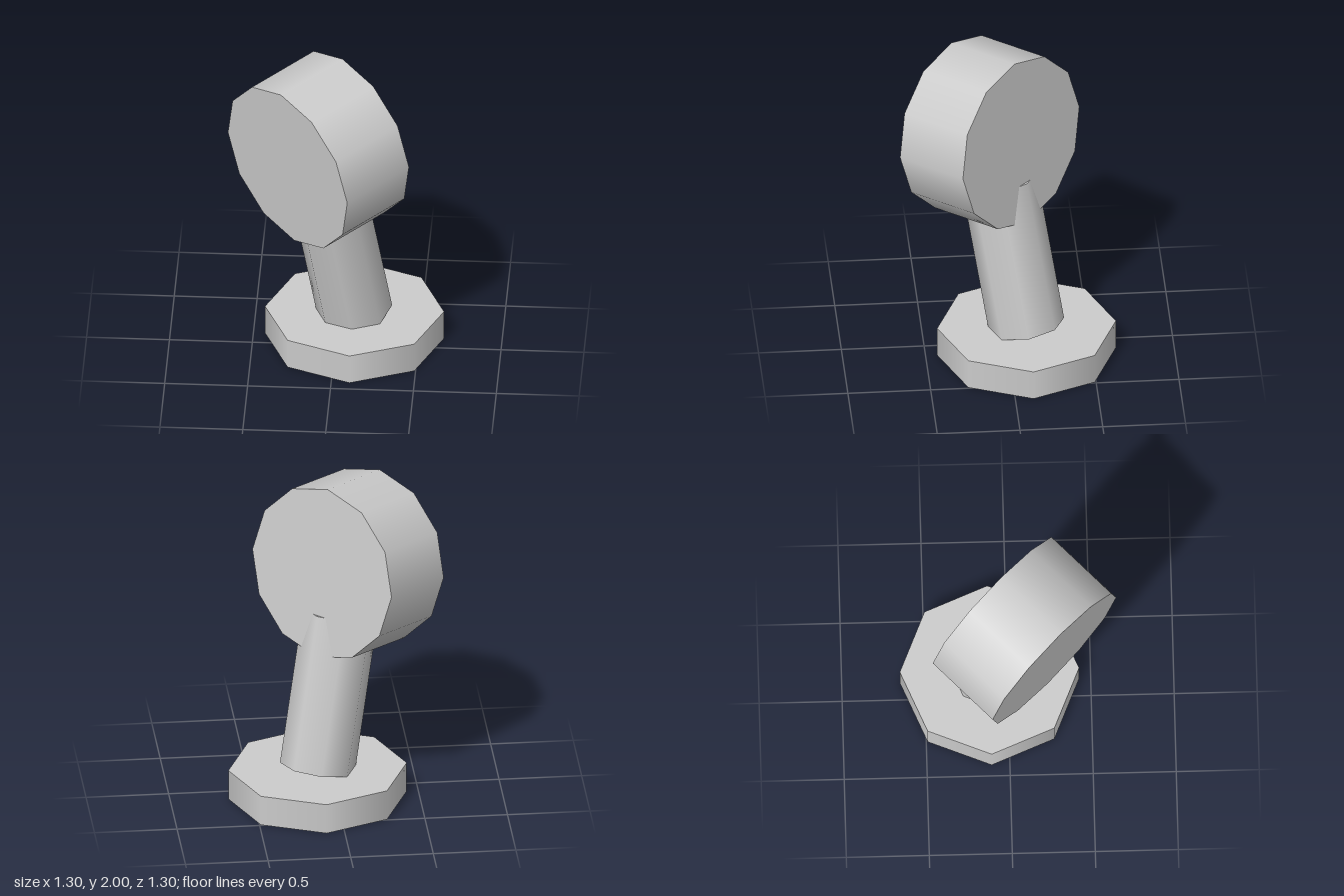
import * as THREE from 'three';

export function createModel() {
  const model = new THREE.Group();
  const grey = new THREE.MeshStandardMaterial({ name: 'light grey', color: 0xcccccc });

  const addCylinder = (name, radius, length, sides) => {
    const mesh = new THREE.Mesh(new THREE.CylinderGeometry(radius, radius, length, sides), grey);
    mesh.name = name;
    model.add(mesh);
    return mesh;
  };

  // Octagonal base plate
  const foot = new THREE.Vector3(0.11, 0.19, -0.11);
  const base = addCylinder('base', 0.54, 0.19, 8);
  base.position.set(foot.x, 0.095, foot.z);

  // Post leaning towards the front right corner
  const lean = new THREE.Vector3(-0.163, 1, 0.163).normalize();
  const postLength = 0.975;
  const post = addCylinder('post', 0.23, postLength, 8);
  post.quaternion.setFromUnitVectors(new THREE.Vector3(0, 1, 0), lean);
  post.position.copy(foot).addScaledVector(lean, postLength / 2);

  // Thick twelve-sided head, turned to the side and tipped slightly down
  const head = addCylinder('head', 0.54, 0.5, 12);
  head.geometry.rotateX(Math.PI / 2);
  head.rotation.set(0.1, -Math.PI / 4, 0, 'YXZ');
  head.position.set(-0.096, 1.438, 0.096);

  return model;
}
